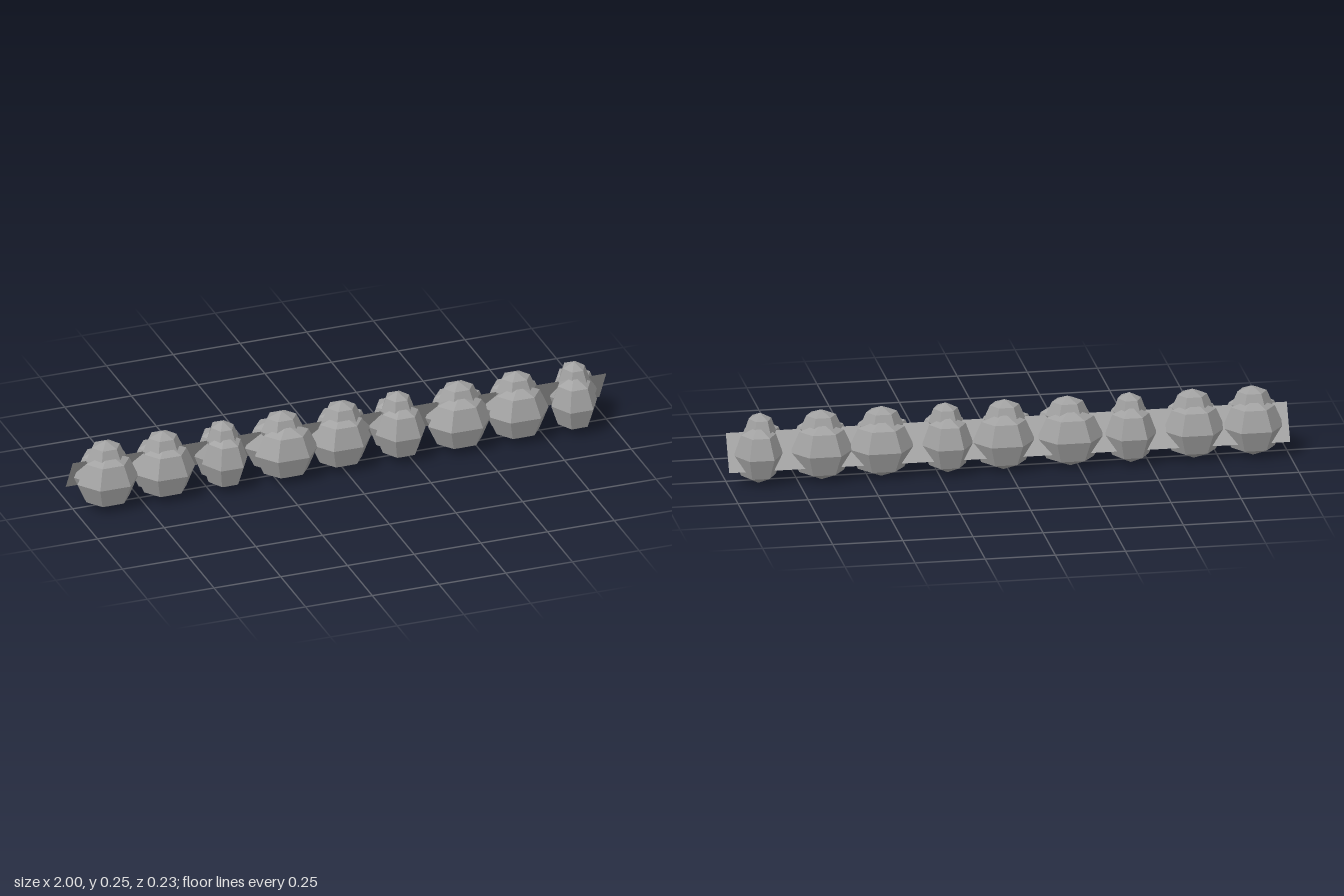
import * as THREE from 'three';

// One row per bush: [front x, front half width, front z, back x, back half width, back z]
const BUSHES = [
  [-0.878, 0.114, 0.026, -0.874, 0.11, -0.03],
  [-0.662, 0.112, 0.024, -0.664, 0.112, -0.027],
  [-0.441, 0.085, 0.028, -0.437, 0.093, -0.036],
  [-0.213, 0.118, 0.036, -0.222, 0.12, -0.034],
  [-0.003, 0.112, 0.024, 0.016, 0.112, -0.036],
  [0.218, 0.094, 0.029, 0.216, 0.092, -0.036],
  [0.437, 0.118, 0.034, 0.452, 0.118, -0.034],
  [0.657, 0.114, 0.034, 0.664, 0.113, -0.034],
  [0.866, 0.086, 0.036, 0.89, 0.088, -0.036],
];

export function createModel() {
  const model = new THREE.Group();
  model.name = 'hedgeRow';

  const foliage = new THREE.MeshStandardMaterial({
    color: 0xa0a0a0, flatShading: true, side: THREE.DoubleSide,
  });
  foliage.name = 'foliageGrey';

  // Low-poly clump: six sides, pointing along x
  const ball = new THREE.SphereGeometry(1, 6, 4);
  const clump = (name, x, y, z, rx, ry, rz) => {
    const mesh = new THREE.Mesh(ball, foliage);
    mesh.name = name;
    mesh.position.set(x, y, z);
    mesh.scale.set(rx, ry, rz);
    return mesh;
  };

  BUSHES.forEach(([fx, fw, fz, bx, bw, bz], i) => {
    const bush = new THREE.Group();
    bush.name = `bush${i + 1}`;
    bush.add(
      clump('frontClump', fx, 0.105, fz, fw, 0.105, 0.09),
      clump('backClump', bx, 0.105, bz, bw, 0.105, 0.09),
      clump('topClump', (fx + bx) / 2, 0.178, 0, (fw + bw) * 0.33, 0.069, 0.067),
    );
    model.add(bush);
  });

  // Leaning sheet running through the whole row
  const low = new THREE.Vector2(0.053, -0.07); // (y, z) of the lower edge
  const high = new THREE.Vector2(0.179, 0);    // (y, z) of the upper edge
  const sheet = new THREE.Mesh(new THREE.PlaneGeometry(2, low.distanceTo(high)), foliage);
  sheet.name = 'leaningSheet';
  sheet.position.set(0, (low.x + high.x) / 2, (low.y + high.y) / 2);
  sheet.rotation.x = Math.atan2(high.y - low.y, high.x - low.x);
  model.add(sheet);

  return model;
}
